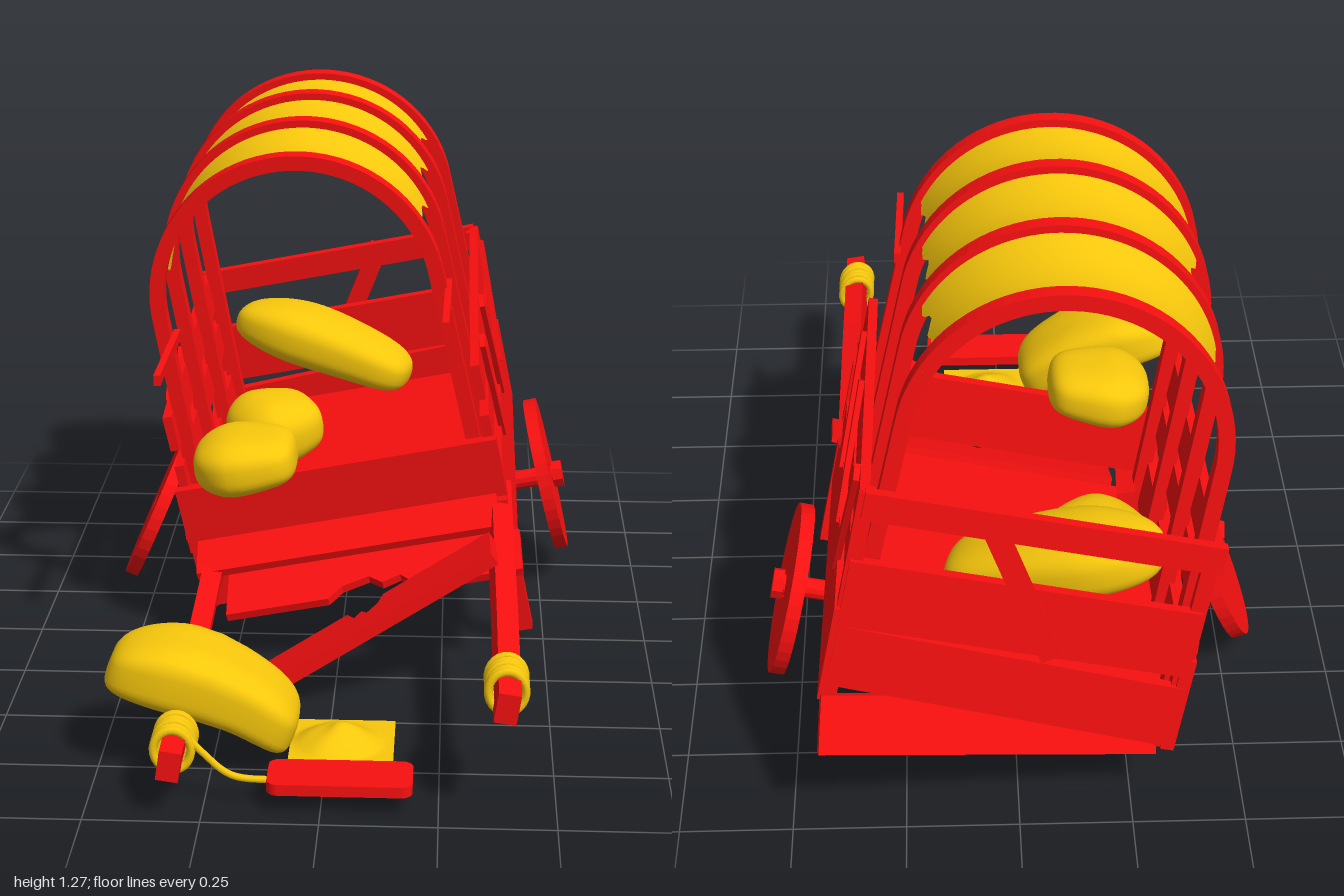
import * as THREE from 'three';
import { mergeVertices } from 'three/addons/utils/BufferGeometryUtils.js';

const red = new THREE.MeshStandardMaterial({ color: 0xf81010, flatShading: true, side: THREE.DoubleSide });
const yellow = new THREE.MeshStandardMaterial({ color: 0xf8c80c, side: THREE.DoubleSide });
const V = (a) => new THREE.Vector3(...a);

function add(parent, name, geometry, material, pos = [0, 0, 0], rot = [0, 0, 0]) {
  const m = new THREE.Mesh(geometry, material);
  m.name = name;
  m.position.set(...pos);
  m.rotation.set(...rot);
  parent.add(m);
  return m;
}
const box = (parent, name, size, pos, rot) => add(parent, name, new THREE.BoxGeometry(...size), red, pos, rot);

// Square timber between two points
function beam(parent, name, a, b, w, h, roll = 0) {
  const p = V(a), q = V(b);
  const m = new THREE.Mesh(new THREE.BoxGeometry(w, h, p.distanceTo(q) + 0.01), red);
  m.name = name;
  m.position.copy(p).add(q).multiplyScalar(0.5);
  m.lookAt(q);
  m.rotateZ(roll);
  parent.add(m);
}

// Flat plank with a splintered notch of half-width n in one long edge
function notchedPlank(parent, name, l, w, t, n, pos, rot) {
  const s = new THREE.Shape([[-l, -w], [l, -w], [l, w], [n, w], [n * 0.7, w * 0.5], [n * 0.1, w * 0.2], [-n * 0.2, w * 0.6], [-n * 0.6, w * 0.35], [-n, w], [-l, w]]
    .map((q) => new THREE.Vector2(...q)));
  const g = new THREE.ExtrudeGeometry(s, { depth: t, bevelEnabled: false });
  g.translate(0, 0, -t / 2).rotateX(-Math.PI / 2);
  add(parent, name, g, red, pos, rot);
}

// Soft, boxy, bent sack
function sack(parent, pos, half, rot, bend, power) {
  let g = new THREE.SphereGeometry(1, 40, 28);
  g.deleteAttribute('uv');
  g.deleteAttribute('normal');
  g = mergeVertices(g, 1e-4);
  const p = g.attributes.position;
  const soft = (v) => Math.sign(v) * Math.abs(v) ** power;
  for (let i = 0; i < p.count; i++) {
    const [x, y, z] = [p.getX(i), p.getY(i), p.getZ(i)].map(soft);
    const waist = 0.95 + 0.05 * Math.cos(x * 4 + 1);
    p.setXYZ(i, x * half[0], y * half[1] * waist - bend * x * x, z * half[2] * waist);
  }
  g.computeVertexNormals();
  add(parent, 'sack', g, yellow, pos, rot);
}

// Arch over the bed with slightly splayed legs; top is the height of its crown
const HOOP_R = 0.353;
function hoop(parent, w, top) {
  const s = new THREE.Shape(), c = top - HOOP_R, r = HOOP_R - 0.035, foot = 0.08, splay = 0.015;
  s.moveTo(HOOP_R + splay, foot);
  s.lineTo(HOOP_R, c);
  s.absarc(0, c, HOOP_R, 0, Math.PI, false);
  s.lineTo(-HOOP_R - splay, foot);
  s.lineTo(-r - splay, foot);
  s.lineTo(-r, c);
  s.absarc(0, c, r, Math.PI, 0, true);
  s.lineTo(r + splay, foot);
  const g = new THREE.ExtrudeGeometry(s, { depth: 0.042, bevelEnabled: false, curveSegments: 20 });
  add(parent, 'hoop', g, red, [-0.01, 0, w + 0.024], [-0.04, 0, 0]);
}

// Torn cloth draped over the hoops, hanging lower on one side
function canopy(parent, hoops) {
  const nu = 40, nw = 60, g = new THREE.PlaneGeometry(1, 1, nu, nw), p = g.attributes.position;
  const z0 = hoops[0][0] + 0.01, z1 = hoops[3][0] - 0.01;
  for (let j = 0; j <= nw; j++) for (let i = 0; i <= nu; i++) {
    const f = j / nw, k = Math.min(2, Math.floor(f * 3)), e = f * 3 - k;
    const top = THREE.MathUtils.lerp(hoops[k][1], hoops[k + 1][1], e);
    const sag = 0.022 * Math.sin(Math.PI * e);
    const tear = 0.03 * Math.sin(j * 1.3) + 0.02 * Math.sin(j * 0.6);
    const hang = 0.42 - 0.16 * Math.cos((f - 0.05) * 8) + tear;
    const a = THREE.MathUtils.lerp(0.22 + 0.15 * f + tear, Math.PI - hang, i / nu);
    const r = HOOP_R - 0.012 - sag;
    const frayed = j === nw ? 0.03 * Math.abs(Math.sin(i * 1.7)) : 0;
    p.setXYZ(j * (nu + 1) + i, r * Math.cos(a), top - HOOP_R + r * Math.sin(a), z0 + (z1 - z0) * f + frayed);
  }
  g.computeVertexNormals();
  add(parent, 'canopy', g, yellow, [-0.01, 0, 0]);
}

// Solid disc wheel with a bore
function wheel(parent, pos, rot) {
  const pts = [[0.025, -0.016], [0.2, -0.016], [0.2, 0.016], [0.025, 0.016], [0.025, -0.016]];
  add(parent, 'wheel', new THREE.LatheGeometry(pts.map((q) => new THREE.Vector2(...q)), 40), red, pos, rot);
}

export function createModel() {
  const model = new THREE.Group();
  model.name = 'brokenWagon';

  // Cart bed, pitched forward and rolled to one side
  const cart = new THREE.Group();
  cart.name = 'cart';
  cart.position.set(0.05, 0.207, -0.474);
  cart.rotation.set(0.113, 0, 0.197);
  model.add(cart);

  for (let i = 0; i < 5; i++) box(cart, 'floorPlank', [0.15, 0.025, 0.98], [(i - 2) * 0.15, 0.09, 0]);
  for (const u of [-0.2, 0.2]) box(cart, 'floorBeam', [0.04, 0.04, 0.96], [u, 0.06, 0]);
  box(cart, 'crossBeam', [0.74, 0.05, 0.05], [0, 0.05, 0.3]);

  // Slatted sides with braces and rear posts
  for (const s of [-1, 1]) {
    box(cart, 'sideBoard', [0.03, 0.23, 0.99], [s * 0.378, 0.115, 0]);
    box(cart, 'lowerRail', [0.022, 0.08, 0.96], [s * 0.376, 0.345, 0]);
    box(cart, 'topRail', [0.022, 0.09, 0.96], [s * 0.376, 0.47, -0.005]);
    for (const [w0, w1] of [[0.3, 0.18], [0.04, -0.08], [-0.39, -0.26]])
      beam(cart, 'sideBrace', [s * 0.393, 0.5, w0], [s * 0.393, 0.21, w1], 0.014, 0.045);
    box(cart, 'rearPost', [0.035, 0.51, 0.035], [s * 0.37, 0.255, -0.47]);
  }

  // Rear end and dropped tailgate
  box(cart, 'rearRail', [0.77, 0.065, 0.025], [-0.01, 0.485, -0.488]);
  box(cart, 'rearBoard', [0.76, 0.16, 0.025], [0, 0.27, -0.485]);
  box(cart, 'rearLowerBoard', [0.76, 0.15, 0.025], [0, 0.1, -0.485], [0, 0, 0.04]);
  beam(cart, 'rearBrace', [0.11, 0.5, -0.505], [-0.08, 0.2, -0.505], 0.015, 0.05);
  box(cart, 'tailgate', [0.75, 0.13, 0.025], [0.01, -0.02, -0.465], [0.38, 0.11, -0.12]);

  // Front end and broken footboards
  box(cart, 'headboard', [0.79, 0.17, 0.03], [0, 0.245, 0.49]);
  box(cart, 'frontLowerBoard', [0.74, 0.1, 0.03], [0, 0.05, 0.475]);
  box(cart, 'footboard', [0.74, 0.02, 0.12], [0, 0.165, 0.555], [0.28, 0, 0]);
  notchedPlank(cart, 'splitFootboard', 0.36, 0.075, 0.02, 0.11, [0.05, 0.075, 0.605], [0.2, Math.PI, 0]);
  box(cart, 'frontLeg', [0.04, 0.36, 0.04], [0.375, 0, 0.51]);

  // Axle with end caps
  const across = [0, 0, Math.PI / 2];
  add(cart, 'axle', new THREE.CylinderGeometry(0.024, 0.024, 1.0, 12), red, [0.005, -0.03, 0], across);
  for (const u of [-0.49, 0.5])
    add(cart, 'axleCap', new THREE.CylinderGeometry(0.036, 0.036, 0.025, 8), red, [u, -0.03, 0], across);
  for (const u of [-0.3, 0.3]) box(cart, 'axleBlock', [0.05, 0.09, 0.12], [u, 0.01, 0]);

  // Hoops as [position along the bed, crown height]
  const hoops = [[0.385, 1.088], [0.1, 1.084], [-0.19, 1.064], [-0.475, 1.032]];
  hoops.forEach(([w, top]) => hoop(cart, w, top));
  canopy(cart, hoops);

  // Wheels: one on the axle, one fallen against the bed
  wheel(model, [0.515, 0.27, -0.48], [0, 0, -1.33]);
  wheel(model, [-0.485, 0.225, -0.33], [0, 0, 1.162]);

  // Bent shafts with rope coils
  const shafts = [
    [[-0.315, 0.125, 0.985], [-0.315, 0.135, 0.62], [-0.31, 0.2, 0.1], [-0.3, 0.22, -0.1]],
    [[0.39, 0.275, 0.99], [0.39, 0.295, 0.6], [0.385, 0.36, 0.05], [0.385, 0.37, -0.05]],
  ];
  for (const pts of shafts) {
    for (let i = 0; i < 3; i++) beam(model, 'shaft', pts[i], pts[i + 1], 0.048, 0.068, 0.15);
    for (let i = 0; i < 5; i++) {
      const coil = add(model, 'ropeCoil', new THREE.TorusGeometry(0.04, 0.009, 8, 24), yellow,
        [pts[0][0], pts[0][1] + 0.005, 0.84 + i * 0.02], [0.1 * (i % 2), 0.12, 0.15]);
      coil.scale.y = 1.15;
    }
  }
  const rope = new THREE.CatmullRomCurve3([[-0.29, 0.165, 0.91], [-0.25, 0.12, 0.91], [-0.19, 0.07, 0.91], [-0.08, 0.055, 0.9]].map(V));
  add(model, 'rope', new THREE.TubeGeometry(rope, 20, 0.008, 8), yellow);

  // Loose rounded board on the ground
  const b = new THREE.Shape(), L = 0.155, W = 0.062, c = 0.025;
  b.absarc(L - c, W - c, c, 0, Math.PI / 2);
  b.absarc(c - L, W - c, c, Math.PI / 2, Math.PI);
  b.absarc(c - L, c - W, c, Math.PI, Math.PI * 1.5);
  b.absarc(L - c, c - W, c, Math.PI * 1.5, Math.PI * 2);
  add(model, 'looseBoard', new THREE.ExtrudeGeometry(b, { depth: 0.025, bevelEnabled: false }), red,
    [0.04, 0.045, 0.89], [-Math.PI / 2, 0, 0]);

  // Fallen plank leaning between the shafts
  notchedPlank(model, 'fallenPlank', 0.34, 0.07, 0.03, 0.05, [0.08, 0.2, 0.37], [0, 0.03, 0.57]);

  // Broken rails projecting forward
  beam(model, 'brokenRail', [-0.41, 0.75, 0.28], [-0.4, 0.765, -0.04], 0.016, 0.026);
  beam(model, 'brokenRail', [0.25, 0.885, 0.28], [0.255, 0.9, -0.04], 0.016, 0.026);

  // Sacks in the bed and one fallen on a shaft
  sack(model, [-0.23, 0.48, 0.04], [0.125, 0.072, 0.135], [0.05, 0, 0.12], 0, 0.7);
  sack(model, [-0.08, 0.55, -0.74], [0.25, 0.075, 0.12], [0, -0.25, -0.27], 0.015, 0.7);
  sack(model, [-0.2, 0.39, -0.48], [0.12, 0.09, 0.13], [0.1, 0.5, 0.1], 0, 0.75);
  sack(model, [-0.255, 0.205, 0.71], [0.218, 0.077, 0.126], [0, 0, -0.36], 0.045, 0.55);

  // Crumpled cloth on the ground
  const cloth = new THREE.PlaneGeometry(0.23, 0.23, 20, 20).rotateX(-Math.PI / 2);
  const p = cloth.attributes.position;
  for (let i = 0; i < p.count; i++) {
    const x = p.getX(i), z = p.getZ(i), peak = Math.max(0, 1 - Math.hypot(x + 0.01, z) / 0.1);
    p.setY(i, 0.055 * peak + 0.008 * Math.sin(x * 50 + z * 20) * Math.cos(z * 45) * peak);
  }
  cloth.computeVertexNormals();
  add(model, 'cloth', cloth, yellow, [0.035, 0.045, 0.69]);
  return model;
}
